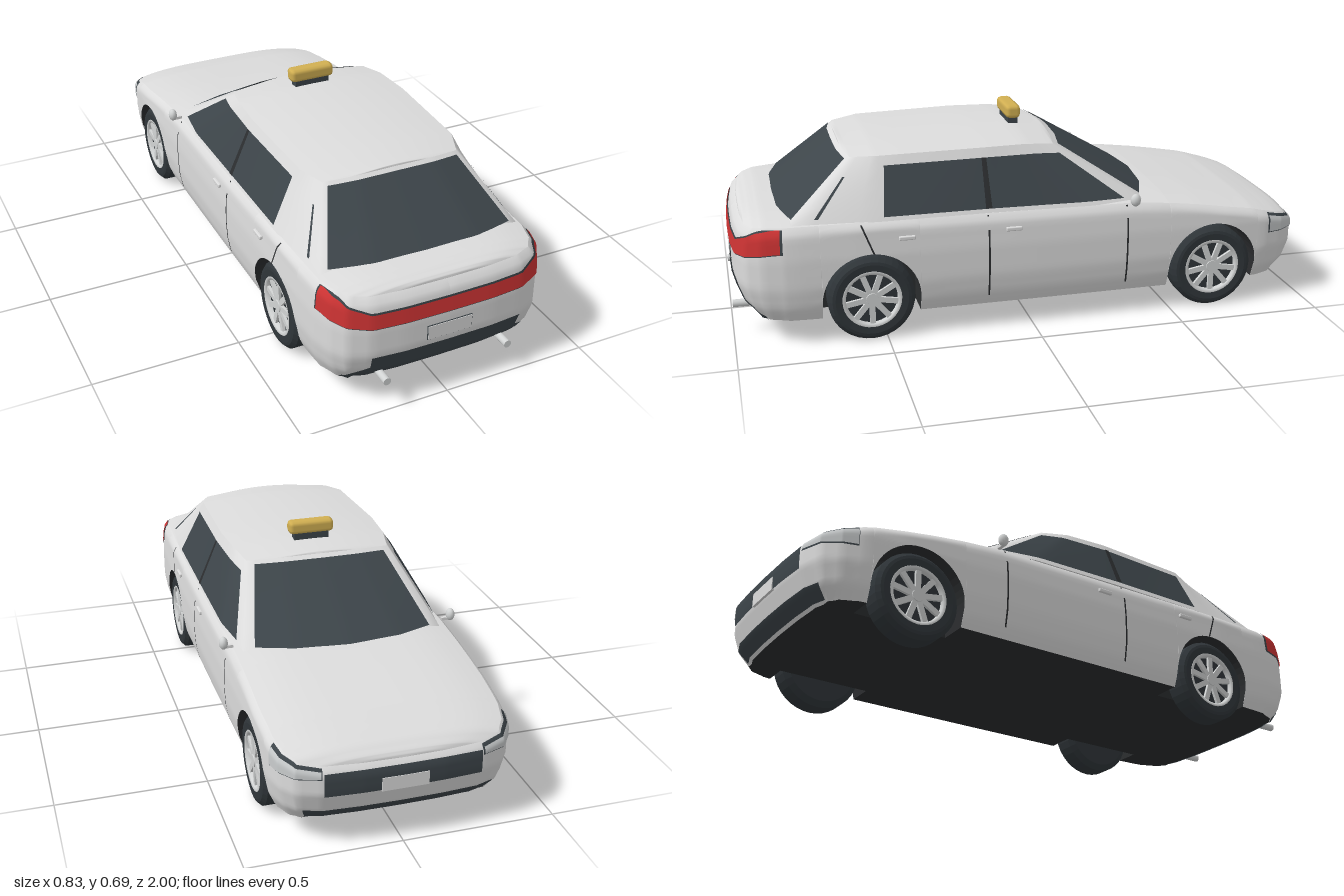
import * as THREE from 'three';
import { RoundedBoxGeometry } from 'three/addons/geometries/RoundedBoxGeometry.js';

const mat = (name, color) => {
  const m = new THREE.MeshStandardMaterial({ color, side: THREE.DoubleSide });
  m.name = name;
  return m;
};
const range = (a, b, n) => Array.from({ length: n + 1 }, (_, i) => a + (b - a) * i / n);
const lerp = THREE.MathUtils.lerp;

// Piecewise linear lookup
function interp(xs, ys, x) {
  if (x <= xs[0]) return ys[0];
  for (let i = 1; i < xs.length; i++)
    if (x <= xs[i]) return lerp(ys[i - 1], ys[i], (x - xs[i - 1]) / (xs[i] - xs[i - 1]));
  return ys[ys.length - 1];
}

// Surface from a rule fn(u, v) -> [x, y, z]
function grid(us, vs, fn, flat = false) {
  const pos = [], idx = [], n = vs.length;
  us.forEach((u, i) => vs.forEach((v, j) => {
    pos.push(...fn(u, v));
    if (i && j) {
      const d = i * n + j, c = d - 1, b = d - n, a = b - 1;
      idx.push(a, c, d, a, d, b);
    }
  }));
  let g = new THREE.BufferGeometry();
  g.setAttribute('position', new THREE.Float32BufferAttribute(pos, 3));
  g.setIndex(idx);
  if (flat) g = g.toNonIndexed();
  g.computeVertexNormals();
  return g;
}

// Closed, mirrored plan: t = 0 at +z centre, t = N at -z centre, left side first
function plan(points) {
  const N = points.length - 1;
  return (t) => {
    t = ((t % (2 * N)) + 2 * N) % (2 * N);
    const side = t > N ? -1 : 1;
    if (t > N) t = 2 * N - t;
    const i = Math.min(Math.floor(t), N - 1);
    return points[i].map((v, k) => lerp(v, points[i + 1][k], t - i) * (k ? 1 : side));
  };
}

// Body plan (x, z)
const OUT = [[0, .99], [.15, .988], [.26, .978], [.33, .95], [.365, .9], [.385, .82], [.393, .6], [.395, 0],
  [.393, -.7], [.385, -.84], [.367, -.91], [.33, -.962], [.25, -.99], [.13, -.998], [0, -1]];
const N = OUT.length - 1;
const outline = plan(OUT);
const tAtZ = (z) => interp(OUT.map((p) => -p[1]), OUT.map((_, i) => i), -z);

const AXLES = [.55, -.65], WHEEL_Y = .145, ARCH = .163, FLOOR = .085;
const topY = (z) => interp([-1, -.95, -.8, -.6, -.4, .5, .9, .99],
  [.285, .306, .343, .376, .402, .412, .41, .4], z);
const bottomY = (z) => {
  for (const a of AXLES) {
    const d = Math.abs(z - a);
    if (d <= ARCH) return WHEEL_Y + Math.sqrt(Math.max(0, ARCH * ARCH - d * d));
  }
  return FLOOR;
};

// Point on the body side wall, pushed out by off
function wall(t, y, off = 0) {
  const [x, z] = outline(t), a = outline(t - .35), b = outline(t + .35);
  const dx = b[0] - a[0], dz = b[1] - a[1], len = Math.hypot(dx, dz);
  const nx = -dz / len, nz = dx / len;
  const ys = [.085, .13, .2, .3, .36, .43];
  const h = Math.max(0, topY(z) - y);
  const d = interp(ys, [.028, .01, 0, 0, .005, .01], y)
    + Math.abs(nz) * interp(ys, [.04, .015, 0, 0, .003, .01], y)
    + (h < .03 ? .018 * (1 - h / .03) ** 2 : 0) - off;
  return [x - nx * d, y, z - nz * d];
}

// Cabin: base and roof plans (x, z, y)
const cabinBase = plan([[0, .85, .415], [.18, .845, .415], [.35, .8, .41], [.37, .52, .41], [.372, .15, .41],
  [.372, -.2, .405], [.345, -.4, .4], [.18, -.46, .4], [0, -.48, .4]]);
const cabinTop = plan([[0, .61, .606], [.13, .608, .604], [.24, .59, .597], [.275, .5, .605], [.285, .15, .611],
  [.275, 0, .61], [.255, -.1, .598], [.13, -.12, .604], [0, -.125, .606]]);
const CN = 8;
function cabinWall(t, v, off = 0) {
  const a = cabinBase(t), b = cabinTop(t), p = a.map((c, k) => lerp(c, b[k], v));
  const q = cabinBase(t - .3), r = cabinBase(t + .3);
  const len = Math.hypot(r[0] - q[0], r[1] - q[1]);
  return [p[0] - (r[1] - q[1]) / len * off, p[2] + off * .6, p[1] + (r[0] - q[0]) / len * off];
}

export function createModel() {
  const M = {
    paint: mat('white paint', 0xdcdcdc), glass: mat('dark glass', 0x3d454a),
    rubber: mat('tyre rubber', 0x30363a), under: mat('underbody black', 0x2b2d2f),
    red: mat('lamp red', 0xcc3333), yellow: mat('sign yellow', 0xd2b052),
    metal: mat('bright metal', 0xd2d4d4), lamp: mat('headlamp grey', 0xc9cccd),
  };
  const car = new THREE.Group();
  car.name = 'car';
  const add = (name, geo, m, x = 0, y = 0, z = 0, parent = car) => {
    const mesh = new THREE.Mesh(geo, m);
    mesh.name = name;
    mesh.position.set(x, y, z);
    parent.add(mesh);
    return mesh;
  };

  // Columns round the body, dense at the wheel arches
  let half = range(0, N, N * 4);
  for (const a of AXLES) {
    half = half.filter((t) => Math.abs(outline(t)[1] - a) > ARCH + .002);
    half.push(tAtZ(a + ARCH + .0005), tAtZ(a - ARCH - .0005));
    for (const k of range(0, Math.PI, 24)) half.push(tAtZ(a + Math.cos(k) * ARCH * .9999));
  }
  half.sort((a, b) => a - b);
  const loop = half.concat(half.slice(0, -1).reverse().map((t) => 2 * N - t));

  add('bodySides', grid(loop, range(0, 1, 18), (t, v) => {
    const z = outline(t)[1];
    return wall(t, lerp(bottomY(z), topY(z), v));
  }), M.paint);
  add('bonnetAndBootDeck', grid(half, range(1, -1, 14), (t, u) => {
    const p = wall(t, topY(outline(t)[1]));
    return [p[0] * u, p[1] + .022 * (p[0] / .38) * (1 - u ** 4), p[2]];
  }), M.paint);
  // Floor with wheel wells
  add('underbody', grid(half, [0, 1, 2, 3, 4, 5], (t, k) => {
    const yb = bottomY(outline(t)[1]), p = wall(t, yb), xi = Math.min(.27, p[0]);
    return [[-p[0], -xi, -xi, xi, xi, p[0]][k], k === 2 || k === 3 ? FLOOR : yb, p[2]];
  }, true), M.under);

  // Cabin shell and roof
  add('cabinShell', grid(range(0, 2 * CN, 64), range(0, 1, 4), (t, v) => cabinWall(t, v)), M.paint);
  add('roof', grid(range(0, CN, 32), range(1, -1, 12), (t, u) => {
    const [x, z, y] = cabinTop(t);
    return [x * u, y + .018 * (x / .28) * (1 - u * u), z];
  }), M.paint);

  // Thin panels that follow the cabin or body surface
  const pane = (name, t0, t1, v0, v1, m, off = .004) =>
    add(name, grid(range(t0, t1, 24), range(v0, v1, 4), (t, v) => cabinWall(t, v, off)), m);
  const panel = (name, t0, t1, lo, hi, m, off = .004) =>
    add(name, grid(range(t0, t1, 56), range(0, 1, 5), (t, v) => {
      const top = topY(outline(t)[1]) - .004;
      return wall(t, Math.min(top, lerp(lo(t), hi(t), v)), off);
    }), m);
  const both = (fn, n, a, b) => { fn('left', a, b); fn('right', 2 * n - b, 2 * n - a); };

  pane('rearWindow', -1.85, 1.85, .06, .95, M.glass);
  pane('windscreen', 6.22, 2 * CN - 6.22, .06, .95, M.glass);
  both((s, a, b) => pane(s + 'SideWindows', a, b, .06, .84, M.glass), CN, 3.05, 5.72);
  both((s, a, b) => pane(s + 'DoorPillar', a, b, .06, .84, M.under, .006), CN, 3.97, 4.03);
  both((s, a, b) => pane(s + 'RearPillarSeam', a, b, .08, .7, M.glass, .003), CN, 2.22, 2.27);

  // Wraparound tail lamp with dark border
  const tl = (t) => Math.abs(t);
  const lampLo = (t) => interp([2, 4.6], [.306, .33], tl(t));
  const lampHi = (t) => interp([2, 3.6, 4.6], [.353, .395, .408], tl(t));
  panel('tailLampBorder', -4.85, 4.85, (t) => lampLo(t) - .004, (t) => lampHi(t) + .005, M.glass, .003);
  panel('tailLamp', -4.75, 4.75, lampLo, lampHi, M.red, .006);
  // Rear lower trim
  panel('rearBumperTrim', -2, 2, () => .15, () => .2, M.glass);
  panel('rearDiffuser', -3.9, 3.9, () => FLOOR, (t) => interp([1.9, 3.9], [.157, .088], tl(t)), M.glass);
  // Nose
  panel('grille', 12, 2 * N - 12, () => .195, () => .272, M.glass);
  panel('lowerIntake', 11.2, 2 * N - 11.2, () => .092, () => .135, M.glass);
  both((s, a, b) => panel(s + 'HeadlampBorder', a - .05, b + .03, () => .253, () => .328, M.glass, .002), N, 9.3, 11.9);
  both((s, a, b) => panel(s + 'Headlamp', a, b, () => .257, (t) => topY(outline(t)[1]) - .012, M.lamp, .005), N, 9.3, 11.9);

  // Door seams
  for (const [name, z, y0] of [['centreDoorSeam', .155, .12], ['frontDoorSeam', -.33, .12]])
    both((s, a, b) => panel(s + name, a, b, () => y0, () => .405, M.under, .002), N, tAtZ(z + .003), tAtZ(z - .003));
  for (const side of [1, -1])
    add('rearDoorSeam', grid([-.003, .003], range(0, 1, 6), (w, v) => {
      const p = wall(tAtZ(lerp(.54, .578, v) - w), lerp(.308, .405, v), .002);
      return [p[0] * side, p[1], p[2]];
    }), M.under);

  // Number plates
  add('rearPlateBorder', new THREE.BoxGeometry(.156, .051, .006), M.glass, 0, .242, .989);
  add('rearPlate', new THREE.BoxGeometry(.152, .047, .008), M.paint, 0, .242, .99);
  add('frontPlate', new THREE.BoxGeometry(.15, .045, .009), M.paint, 0, .215, -1.001);

  // Wheel parts, revolved about the axle
  const tyre = new THREE.LatheGeometry([[.04, -.047], [.125, -.047], [.145, -.032], [.145, .032], [.132, .045],
    [.122, .047], [.098, .045], [.094, .028], [0, .028]].map((p) => new THREE.Vector2(...p)), 36)
    .toNonIndexed();
  tyre.computeVertexNormals();
  const rim = new THREE.LatheGeometry([[.086, .03], [.088, .044], [.098, .047], [.1, .044]]
    .map((p) => new THREE.Vector2(...p)), 36);

  for (const side of [1, -1]) {
    for (const z of AXLES) {
      const wheel = new THREE.Group();
      wheel.name = 'wheel';
      wheel.position.set(side * .338, WHEEL_Y, z);
      wheel.rotation.z = -side * Math.PI / 2;
      car.add(wheel);
      add('tyre', tyre, M.rubber, 0, 0, 0, wheel);
      add('rimRing', rim, M.metal, 0, 0, 0, wheel);
      add('hub', new THREE.CylinderGeometry(.02, .024, .016, 16), M.metal, 0, .036, 0, wheel);
      for (let i = 0; i < 9; i++) {
        const a = i * Math.PI * 2 / 9;
        const spoke = add('spoke', new THREE.BoxGeometry(.076, .01, .019), M.metal,
          Math.cos(a) * .052, .036, Math.sin(a) * .052, wheel);
        spoke.rotation.y = -a;
      }
    }
    // Door handles
    for (const z of [.43, .07])
      add('doorHandle', new RoundedBoxGeometry(.012, .014, .055, 2, .004), M.paint, side * .393, .355, z);
    // Door mirrors
    const mirror = add('doorMirror', new THREE.SphereGeometry(1, 12, 8), M.metal, side * .4, .422, -.352);
    mirror.scale.set(.015, .022, .018);
    add('mirrorStalk', new THREE.BoxGeometry(.03, .01, .012), M.paint, side * .383, .408, -.35);
    // Exhaust tips
    const pipe = add('exhaustTip', new THREE.CylinderGeometry(.013, .013, .06, 16), M.metal, side * .215, .108, .968);
    pipe.rotation.x = Math.PI / 2;
  }

  // Roof sign
  add('signBase', new THREE.BoxGeometry(.126, .03, .034), M.glass, 0, .634, -.008);
  add('roofSign', new RoundedBoxGeometry(.162, .047, .052, 1, .015), M.yellow, 0, .668, -.008);
  return car;
}
